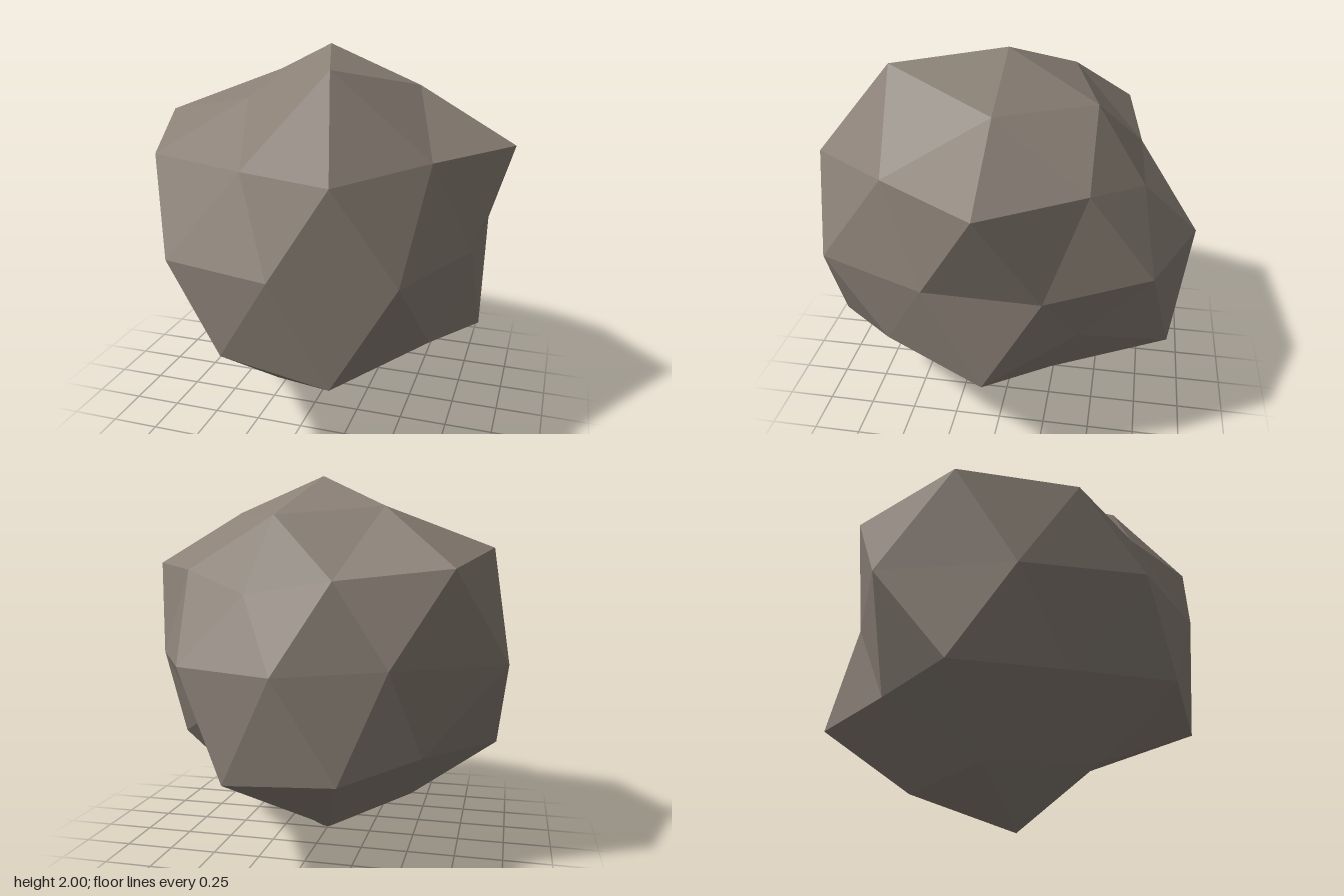
import * as THREE from 'three';

// Lumpy low-poly boulder: a once-divided icosphere with its own radius at each corner.
const STRETCH = new THREE.Vector3(1, 0.988, 1.083);
const ICO = Math.atan(0.5);          // latitude of the five-way corners
const MID = Math.asin(0.5257);       // latitude of the corners between them
const CAP = Math.asin(0.8507);       // latitude of the small rings round the poles

// Radii, each ring running from +x towards +z
const TOP = 0.969, BOTTOM = 1.056;
const UPPER_CAP = [0.908, 1.066, 0.835, 0.925, 0.87];
const UPPER = [1.09, 0.933, 1.022, 0.835, 1.02, 1.094, 1.07, 0.795, 0.79, 0.877];
const EQUATOR = [0.862, 0.985, 0.903, 0.967, 0.922, 1.077, 0.825, 0.942, 0.914, 0.877];
const LOWER = [0.994, 0.92, 1.027, 0.987, 0.85, 1.083, 0.9, 1.09, 1.04, 0.785];
const LOWER_CAP = [0.795, 0.903, 0.962, 0.993, 0.87];

function corner(radius, latitude, degrees) {
  const a = THREE.MathUtils.degToRad(degrees);
  const c = Math.cos(latitude);
  return new THREE.Vector3(c * Math.cos(a), Math.sin(latitude), c * Math.sin(a))
    .multiplyScalar(radius).multiply(STRETCH);
}

function boulderGeometry() {
  const positions = [];

  // Adds a triangle with its front facing away from the centre
  const tri = (a, b, c) => {
    const n = b.clone().sub(a).cross(c.clone().sub(a));
    const order = n.dot(a) > 0 ? [a, b, c] : [a, c, b];
    order.forEach(v => positions.push(v.x, v.y, v.z));
  };

  const equator = EQUATOR.map((r, j) => corner(r, 0, 18 + 36 * j));

  // One half: band from the equator to the ring, then the cap to the pole
  const half = (sign, ringRadii, capRadii, poleRadius, offset) => {
    const ring = ringRadii.map((r, j) => corner(r, sign * (j % 2 === offset ? ICO : MID), 36 * j));
    const cap = capRadii.map((r, k) => corner(r, sign * CAP, 72 * k + 36 * offset));
    const pole = new THREE.Vector3(0, sign * poleRadius * STRETCH.y, 0);
    for (let j = 0; j < 10; j++) {
      const next = (j + 1) % 10;
      tri(ring[j], ring[next], equator[j]);
      tri(equator[j], equator[next], ring[next]);
    }
    for (let k = 0; k < 5; k++) {
      const j = 2 * k + offset, next = cap[(k + 1) % 5];
      tri(cap[k], ring[j], ring[(j + 1) % 10]);
      tri(cap[k], ring[j], ring[(j + 9) % 10]);
      tri(cap[k], ring[(j + 1) % 10], next);
      tri(pole, cap[k], next);
    }
  };
  half(1, UPPER, UPPER_CAP, TOP, 0);
  half(-1, LOWER, LOWER_CAP, BOTTOM, 1);

  const geometry = new THREE.BufferGeometry();
  geometry.setAttribute('position', new THREE.Float32BufferAttribute(positions, 3));
  geometry.computeVertexNormals();
  return geometry;
}

export function createModel() {
  const stone = new THREE.MeshStandardMaterial({ color: 0x8a8076, flatShading: true });
  stone.name = 'stone';

  const boulder = new THREE.Mesh(boulderGeometry(), stone);
  boulder.name = 'boulder';
  boulder.position.set(0.024, 1.043, 0.02);

  const group = new THREE.Group();
  group.name = 'rock';
  group.add(boulder);
  return group;
}
